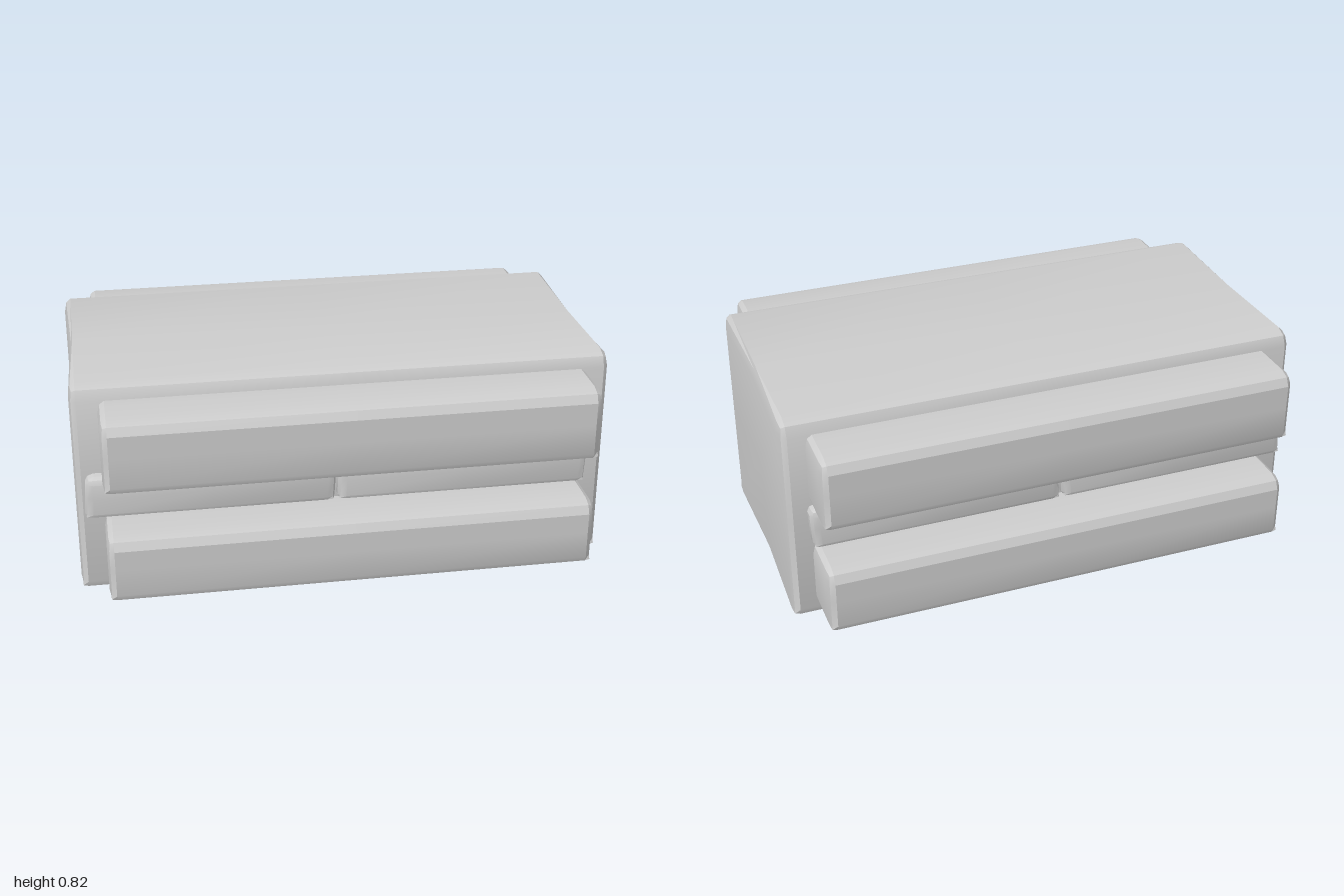
import * as THREE from 'three';
import { toCreasedNormals } from 'three/addons/utils/BufferGeometryUtils.js';

const material = new THREE.MeshStandardMaterial({ color: 0xcccccc });

// Worn stone block: a box whose edges and corners are pulled inward.
// The lower edges are worn less; sag hollows the faces, skew leans the ends.
function stone(name, [x0, x1], [y0, y1], [z0, z1], bevel, { sag = 0, skew = 0 } = {}) {
  const half = [(x1 - x0) / 2, (y1 - y0) / 2, (z1 - z0) / 2];
  const geometry = new THREE.BoxGeometry(4, 4, 4, 4, 4, 4);
  const pos = geometry.attributes.position;
  for (let i = 0; i < pos.count; i++) {
    const grid = [pos.getX(i), pos.getY(i), pos.getZ(i)].map(Math.round);
    const outer = grid.filter((g) => Math.abs(g) === 2).length;
    const pull = [0, 0, 0.3, 0.45][outer];
    const wear = grid[1] === -2 ? 0.5 : 1;
    const p = grid.map((g, a) => {
      const b = bevel[a] * (a === 1 && g < 0 ? 0.5 : 1);
      const step = Math.abs(g);
      if (step === 0) return 0;
      return Math.sign(g) * (half[a] - (step === 1 ? b : b * pull * wear));
    });
    // Hollow the ends and the top along the middle line
    if (grid[2] === 0 && Math.abs(grid[0]) === 2) p[0] -= Math.sign(p[0]) * sag * 1.4;
    if (grid[2] === 0 && grid[1] === 2) p[1] -= sag;
    p[0] += (skew * p[1]) / half[1];
    pos.setXYZ(i, ...p);
  }
  const mesh = new THREE.Mesh(toCreasedNormals(geometry, 0.45), material);
  mesh.name = name;
  mesh.position.set((x0 + x1) / 2, (y0 + y1) / 2, (z0 + z1) / 2);
  return mesh;
}

export function createModel() {
  const model = new THREE.Group();
  model.name = 'stoneBlockWall';

  // Main block
  model.add(stone('coreBlock', [-1, 0.995], [0, 0.82], [-0.475, 0.475], [0.025, 0.055, 0.06], { sag: 0.009 }));

  // Long courses and the split middle course, repeated front and back
  for (const [side, s] of [['front', 1], ['back', -1]]) {
    const span = (inner, outer) => (s > 0 ? [inner, outer] : [-outer, -inner]);
    const long = span(0.35, 0.688);
    const short = span(0.35, 0.528);
    model.add(
      stone(side + 'UpperBeam', [-0.9, 0.907], [0.495, 0.765], long, [0.025, 0.045, 0.055]),
      stone(side + 'LowerBeam', [-0.9, 0.907], [0.06, 0.31], long, [0.025, 0.045, 0.055]),
      stone(side + 'MiddleStoneRight', [-0.965, -0.045], [0.323, 0.48], short, [0.03, 0.025, 0.025], { skew: 0.005 }),
      stone(side + 'MiddleStoneLeft', [-0.035, 0.915], [0.323, 0.48], short, [0.03, 0.025, 0.025], { skew: 0.004 }),
    );
  }
  return model;
}
